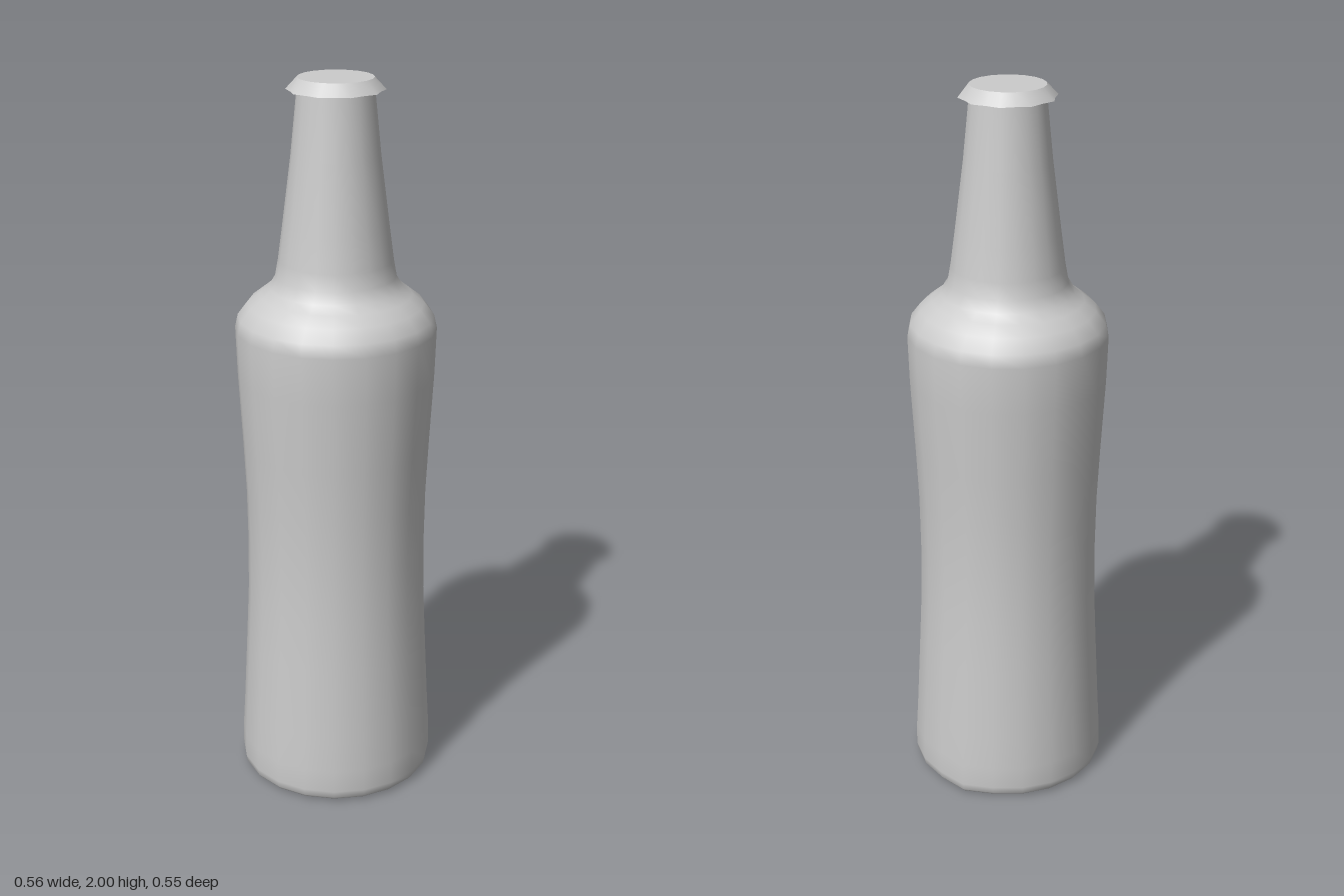
import * as THREE from 'three';

const SIDES = 20;
const CENTRE_X = -0.005;

export function createModel() {
  const model = new THREE.Group();
  const grey = new THREE.MeshStandardMaterial({ color: 0xcccccc });
  const greyBothSides = new THREE.MeshStandardMaterial({ color: 0xcccccc, side: THREE.DoubleSide });

  const lathe = (points) =>
    new THREE.LatheGeometry(points.map(([r, y]) => new THREE.Vector2(r, y)), SIDES);

  const add = (name, geometry, material) => {
    const mesh = new THREE.Mesh(geometry, material);
    mesh.name = name;
    mesh.position.x = CENTRE_X;
    model.add(mesh);
    return mesh;
  };

  // Bottle: waisted body, rounded shoulder and tapering neck
  const bottle = lathe([
    [0.262, 0.006], [0.27, 0.015], [0.274, 0.035], [0.273, 0.1], [0.267, 0.2],
    [0.257, 0.4], [0.25, 0.55], [0.248, 0.7], [0.25, 0.85], [0.257, 1.0],
    [0.268, 1.2], [0.272, 1.33], [0.264, 1.365], [0.237, 1.4], [0.205, 1.425],
    [0.18, 1.445], [0.162, 1.475], [0.154, 1.52], [0.142, 1.61], [0.118, 1.8],
    [0.099, 1.99],
  ]);
  // The lower wall bulges slightly on the model's left
  const p = bottle.attributes.position;
  for (let i = 0; i < p.count; i++) {
    const x = p.getX(i);
    if (x > 0.2 && Math.abs(p.getZ(i)) < 0.01) {
      p.setX(i, x + 0.011 * Math.max(0, 1 - p.getY(i) / 0.6));
    }
  }
  add('bottle', bottle, grey);

  // Nearly flat base, lowest in the middle
  add('base', lathe([[0, 0], [0.24, 0.002], [0.262, 0.006]]), grey);

  // Crown cap: flared skirt with ten scallops and a flat lid
  const skirt = lathe([[0.13, 1.968], [0.1, 2]]);
  const s = skirt.attributes.position;
  for (let i = 0; i < s.count; i++) {
    const column = Math.floor(i / 2);
    if (i % 2 === 0 && column % 2 === 1) {
      s.setX(i, s.getX(i) * 0.93);
      s.setZ(i, s.getZ(i) * 0.93);
    }
  }
  add('capSkirt', skirt, greyBothSides);

  const lid = add('capLid', new THREE.CircleGeometry(0.1, SIDES), grey);
  lid.rotation.x = -Math.PI / 2;
  lid.position.y = 2;

  return model;
}
